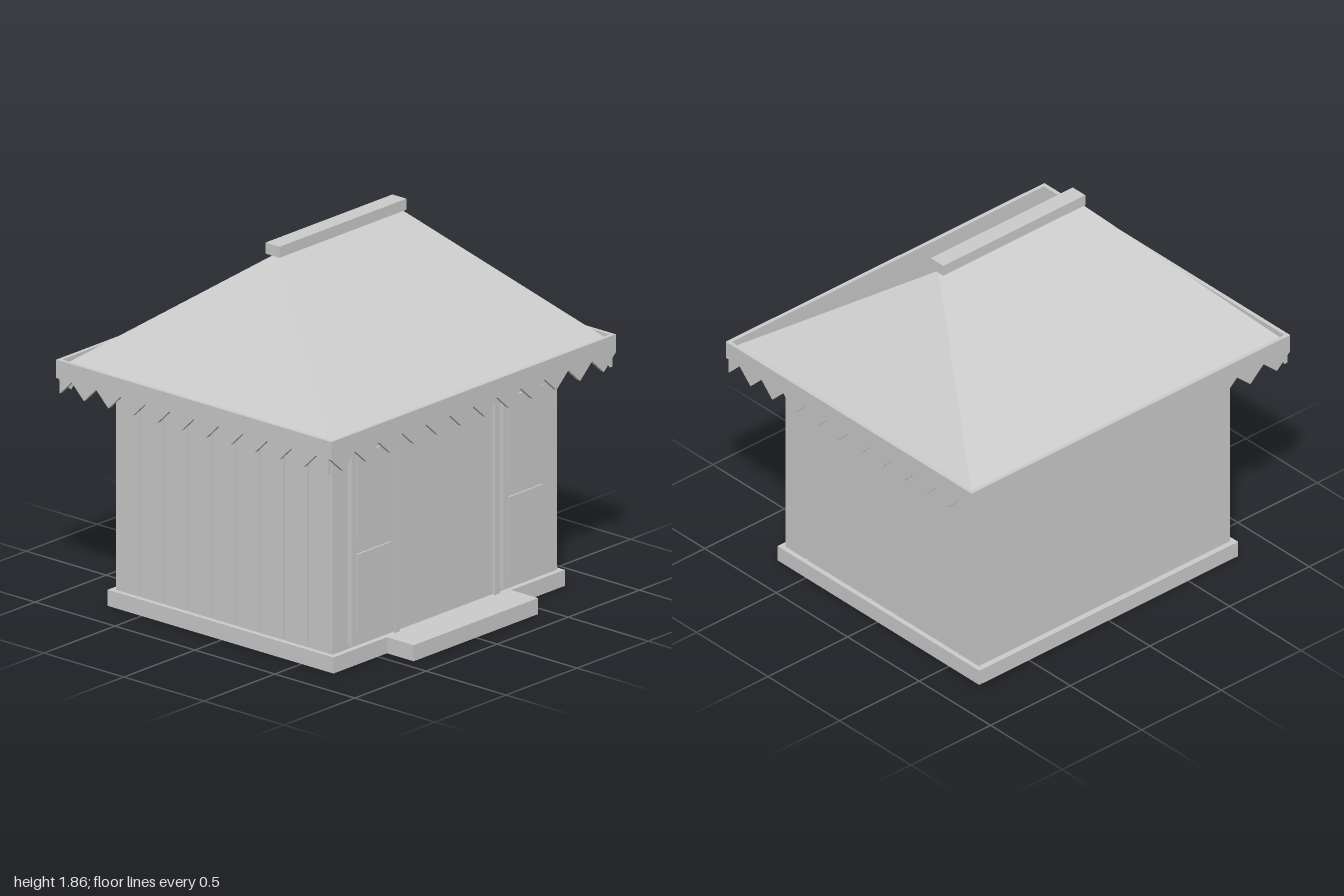
import * as THREE from 'three';
import { ConvexGeometry } from 'three/addons/geometries/ConvexGeometry.js';

export function createModel() {
  const model = new THREE.Group();
  const grey = new THREE.MeshStandardMaterial({ color: 0xcccccc });
  grey.name = 'plain grey';
  const CZ = -0.0075; // centre of the house; the step sticks out in front

  const add = (name, geometry) => {
    const mesh = new THREE.Mesh(geometry, grey);
    mesh.name = name;
    model.add(mesh);
    return mesh;
  };
  // Box given by its limits on each axis
  const box = (name, x0, x1, y0, y1, z0, z1) => {
    const mesh = add(name, new THREE.BoxGeometry(x1 - x0, y1 - y0, z1 - z0));
    mesh.position.set((x0 + x1) / 2, (y0 + y1) / 2, (z0 + z1) / 2);
    return mesh;
  };

  // Floor and step
  box('floor', -0.813, 0.813, 0, 0.08, -0.712, 0.7);
  box('step', -0.437, 0.437, 0, 0.08, 0.7, 0.867);

  // Walls, with planks along both sides
  box('walls', -0.78, 0.78, 0.08, 1.205, -0.682, 0.672);
  const count = 9, pitch = 1.354 / count, gap = 0.01;
  for (const side of [-1, 1]) {
    for (let i = 0; i < count; i++) {
      const z = -0.682 + i * pitch;
      const plank = box('sidePlank', -0.004, 0.004, 0.08, 1.205,
        z + (i ? gap / 2 : 0), z + pitch - (i < count - 1 ? gap / 2 : 0));
      plank.position.x = side * 0.784;
    }
  }

  // Shutters with two raised panels each, and the posts beside the entrance
  for (const side of [-1, 1]) {
    const place = (name, x0, x1, y0, y1, z1) => {
      const mesh = box(name, x0, x1, y0, y1, 0.672, z1);
      mesh.position.x *= side;
    };
    place('shutter', 0.383, 0.682, 0.1, 1.11, 0.7);
    place('lowerPanel', 0.413, 0.652, 0.17, 0.55, 0.708);
    place('upperPanel', 0.413, 0.652, 0.62, 1.045, 0.708);
    place('entrancePost', 0.335, 0.368, 0.08, 1.205, 0.69);
  }

  // Scalloped valance above the entrance
  const valance = new THREE.Shape();
  valance.moveTo(-0.335, 1.205);
  valance.lineTo(-0.335, 1.12);
  const scallop = 0.67 / 4;
  for (let i = 0; i < 4; i++) {
    const x = -0.335 + i * scallop;
    valance.bezierCurveTo(x + 0.02, 1.035, x + scallop - 0.02, 1.035, x + scallop, 1.12);
  }
  valance.lineTo(0.335, 1.205);
  add('valance', new THREE.ExtrudeGeometry(valance,
    { depth: 0.015, bevelEnabled: false, curveSegments: 8 })).position.z = 0.692;

  // Zigzag eave boards; startLow begins the row on a tooth tip
  const eaveBoard = (name, length, teeth, startLow) => {
    const shape = new THREE.Shape();
    const half = length / 2, top = 1.235, notch = 1.145, tip = 1.07;
    shape.moveTo(half, top);
    shape.lineTo(-half, top);
    for (let i = 0; i <= teeth * 2; i++) {
      const low = (i % 2 === 0) === startLow;
      shape.lineTo(-half + (i * length) / (teeth * 2), low ? tip : notch);
    }
    const geometry = new THREE.ExtrudeGeometry(shape, { depth: 0.02, bevelEnabled: false });
    geometry.translate(0, 0, -0.01);
    return add(name, geometry);
  };
  for (const side of [-1, 1]) {
    eaveBoard(side > 0 ? 'frontEave' : 'backEave', 2, 12, false).position.z = CZ + side * 0.85;
    const board = eaveBoard(side > 0 ? 'leftEave' : 'rightEave', 1.68, 11, true);
    board.rotation.y = Math.PI / 2;
    board.position.set(side * 0.99, 0, CZ);
  }

  // Hipped roof and ridge cap
  const roofPoints = [];
  for (const x of [-1, 1]) {
    for (const z of [-1, 1]) roofPoints.push(new THREE.Vector3(x * 0.98, 1.205, CZ + z * 0.84));
    roofPoints.push(new THREE.Vector3(x * 0.437, 1.81, CZ));
  }
  add('roof', new ConvexGeometry(roofPoints));
  box('ridgeCap', -0.446, 0.446, 1.807, 1.862, CZ - 0.044, CZ + 0.044);

  return model;
}
